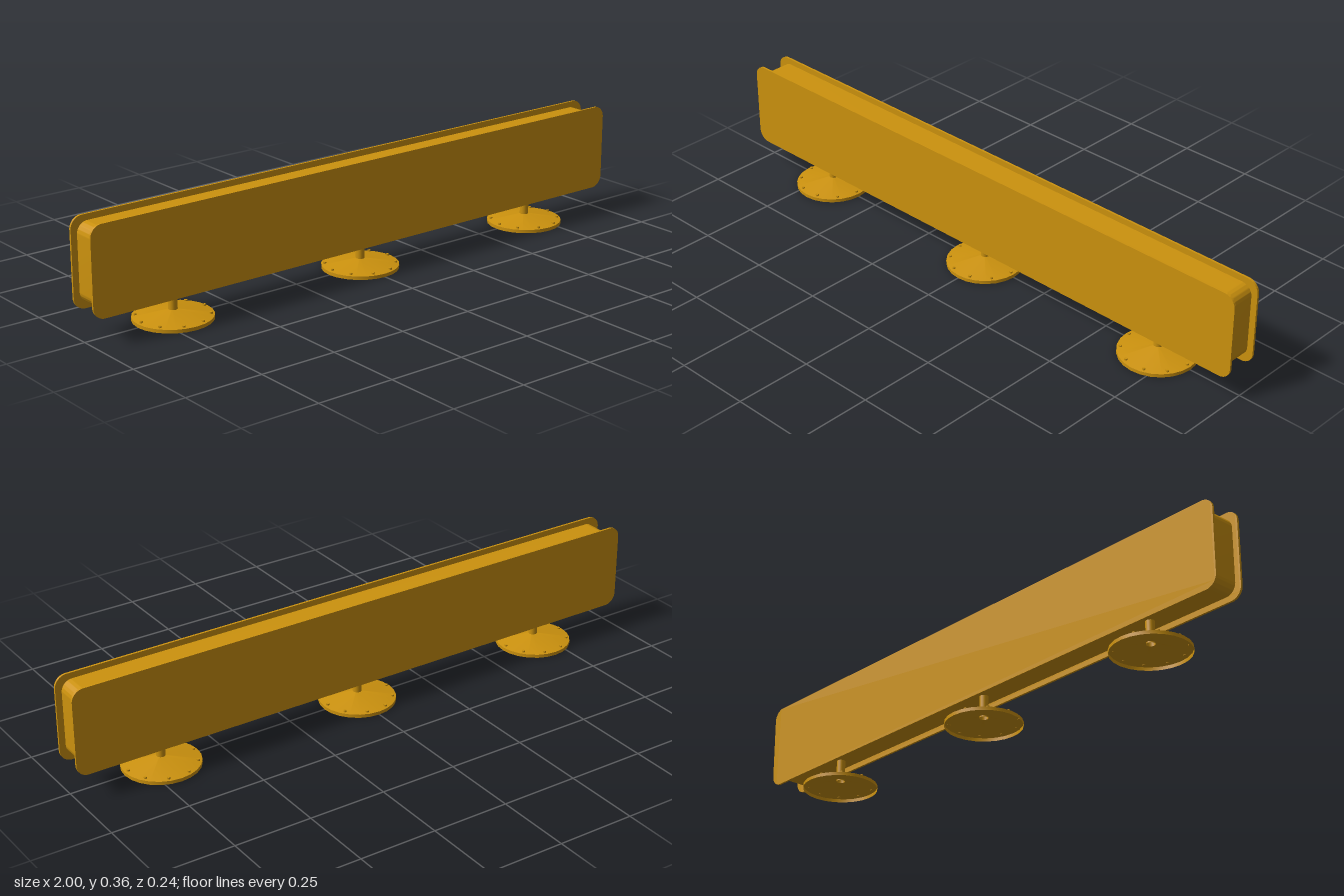
import * as THREE from 'three';
import { toCreasedNormals } from 'three/addons/utils/BufferGeometryUtils.js';

const paint = new THREE.MeshStandardMaterial({ color: 0xcc920e });
const thinPaint = new THREE.MeshStandardMaterial({ color: 0xcc920e, side: THREE.DoubleSide });

function part(name, geometry, material = paint) {
  const mesh = new THREE.Mesh(geometry, material);
  mesh.name = name;
  return mesh;
}

// Upright rounded slab, centred on x = 0 and starting at z = z0
function slab(halfWidth, y0, y1, r, z0, depth) {
  const s = new THREE.Shape();
  s.absarc(halfWidth - r, y0 + r, r, -Math.PI / 2, 0);
  s.absarc(halfWidth - r, y1 - r, r, 0, Math.PI / 2);
  s.absarc(-halfWidth + r, y1 - r, r, Math.PI / 2, Math.PI);
  s.absarc(-halfWidth + r, y0 + r, r, Math.PI, Math.PI * 1.5);
  s.closePath();
  const g = new THREE.ExtrudeGeometry(s, { depth, bevelEnabled: false, curveSegments: 10 });
  g.translate(0, 0, z0);
  return toCreasedNormals(g, 0.5);
}

// Foot: hollow conical flange, tubular post and a ring of bolts
function createFoot() {
  const foot = new THREE.Group();
  foot.name = 'foot';

  const profile = [[0.122, 0], [0.122, 0.011], [0.014, 0.03]]
    .map(([r, y]) => new THREE.Vector2(r, y));
  const flange = toCreasedNormals(new THREE.LatheGeometry(profile, 24), 0.5);
  foot.add(part('flange', flange, thinPaint));

  const post = new THREE.CylinderGeometry(0.014, 0.014, 0.075, 20, 1, true);
  post.translate(0, 0.0635, 0);
  foot.add(part('post', post, thinPaint));

  const boltGeometry = new THREE.CylinderGeometry(0.005, 0.005, 0.006, 8);
  for (let i = 0; i < 10; i++) {
    const a = (i / 10) * Math.PI * 2;
    const bolt = part('bolt', boltGeometry);
    bolt.position.set(0.11 * Math.cos(a), 0.015, 0.11 * Math.sin(a));
    foot.add(bolt);
  }
  return foot;
}

export function createModel() {
  const model = new THREE.Group();
  model.name = 'signBarrier';

  // Inset core between two thin face panels
  model.add(part('core', slab(0.98, 0.098, 0.34, 0.035, -0.048, 0.096)));
  model.add(part('frontPanel', slab(1, 0.08, 0.359, 0.038, 0.048, 0.007)));
  model.add(part('backPanel', slab(1, 0.08, 0.359, 0.038, -0.055, 0.007)));

  for (const x of [-0.7, 0, 0.7]) {
    const foot = createFoot();
    foot.position.x = x;
    model.add(foot);
  }
  return model;
}
